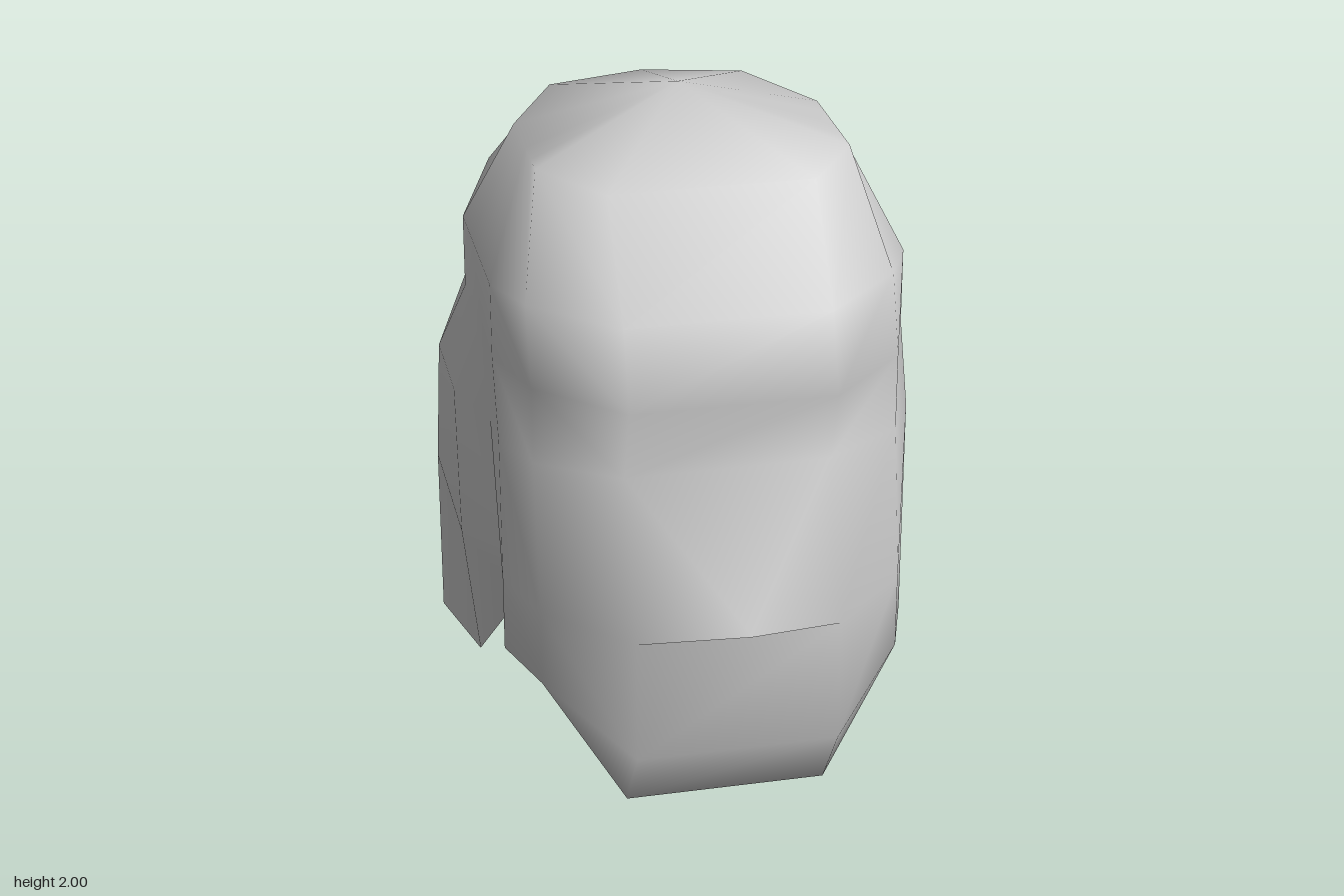
import * as THREE from 'three';

// Half rings run from the front, round the +x side, to the back centre.
const ring = (y, ...xz) => xz.map(([x, z]) => [x, y, z]);

// Adds the mirrored -x half. A flat front has no centre point, so its first point comes twice.
const mirrored = (row) => [...row.slice(1).reverse().map(([x, y, z]) => [-x, y, z]), ...row];

export function createModel() {
  const grey = new THREE.MeshStandardMaterial({ color: 0xcccccc, side: THREE.DoubleSide });
  grey.name = 'lightGrey';

  // Top of the head, from the crown down to eye level
  const apex = Array(9).fill([0, 2, 0]);
  const skull = [
    apex,
    ring(1.86, [0.28, 0.43], [0.28, 0.43], [0.43, 0.21], [0.43, 0.14], [0.43, 0.05], [0.43, -0.05], [0.43, -0.14], [0.28, -0.43], [0, -0.5]),
    ring(1.57, [0.28, 0.64], [0.28, 0.64], [0.5, 0.43], [0.57, 0.28], [0.57, 0.12], [0.57, -0.05], [0.57, -0.21], [0.43, -0.64], [0, -0.71]),
    ring(1.36, [0.28, 0.71], [0.28, 0.71], [0.5, 0.5], [0.57, 0.28], [0.57, 0.14], [0.57, -0.03], [0.57, -0.21], [0.43, -0.71], [0, -0.79]),
    ring(1.14, [0.28, 0.64], [0.28, 0.64], [0.5, 0.5], [0.57, 0.36], [0.57, 0.21], [0.64, 0], [0.64, -0.3], [0.46, -0.71], [0, -0.79]),
  ];
  const eyeLevel = skull[4];

  // Lower face: nose, lip, jaw, chin and the closed underside of the chin
  const cheek = ring(0.72, [0.28, 0.79], [0.5, 0.57], [0.57, 0.36], [0.5, 0.21]);
  const notch = [0.5, 0.57, 0.21];
  const lip = [0.28, 0.36, 0.79], chin = [0.28, 0.14, 0.64], jawCorner = [0.28, 0.14, 0.36];
  const face = [
    eyeLevel.slice(0, 5),
    [[0, 0.79, 0.93], ...cheek],
    [cheek[0], ...cheek],
    [lip, lip, [0.5, 0.5, 0.57], [0.57, 0.5, 0.36], notch],
    [chin, chin, jawCorner, jawCorner, notch],
    [jawCorner, jawCorner, jawCorner, jawCorner, notch],
  ];

  // Side flaps and flared back, open at the bottom
  const hair = [
    eyeLevel.slice(4),
    ring(0.72, [0.5, 0.21], [0.64, 0.06], [0.64, -0.43], [0.5, -0.71], [0, -0.79]),
    [notch, [0.57, 0.21, -0.14], [0.64, 0.21, -0.43], [0.36, 0, -0.93], [0, 0, -0.93]],
  ];
  const otherHair = hair.map((row) => row.map(([x, y, z]) => [-x, y, z]).reverse());

  // Join the patches into one smooth shell, sharing equal points
  const positions = [], indices = [], lookup = new Map();
  const vertex = (point) => {
    const key = point.map((v) => v + 0 || 0).join();
    if (!lookup.has(key)) {
      lookup.set(key, positions.length / 3);
      positions.push(...point);
    }
    return lookup.get(key);
  };
  const triangle = (a, b, c) => {
    if (a !== b && b !== c && a !== c) indices.push(a, b, c);
  };
  for (const patch of [skull.map(mirrored), face.map(mirrored), hair, otherHair]) {
    for (let r = 0; r + 1 < patch.length; r++) {
      for (let k = 0; k + 1 < patch[r].length; k++) {
        const a = vertex(patch[r][k]), b = vertex(patch[r][k + 1]);
        const c = vertex(patch[r + 1][k]), d = vertex(patch[r + 1][k + 1]);
        // Diagonals mirror across the centre plane
        if (patch[r][k][0] + patch[r][k + 1][0] + patch[r + 1][k][0] + patch[r + 1][k + 1][0] < 0) {
          triangle(a, c, d);
          triangle(a, d, b);
        } else {
          triangle(a, c, b);
          triangle(b, c, d);
        }
      }
    }
  }
  const geometry = new THREE.BufferGeometry();
  geometry.setAttribute('position', new THREE.Float32BufferAttribute(positions, 3));
  geometry.setIndex(indices);
  geometry.computeVertexNormals();

  const head = new THREE.Mesh(geometry, grey);
  head.name = 'headShell';
  const group = new THREE.Group();
  group.name = 'head';
  group.add(head);
  return group;
}
